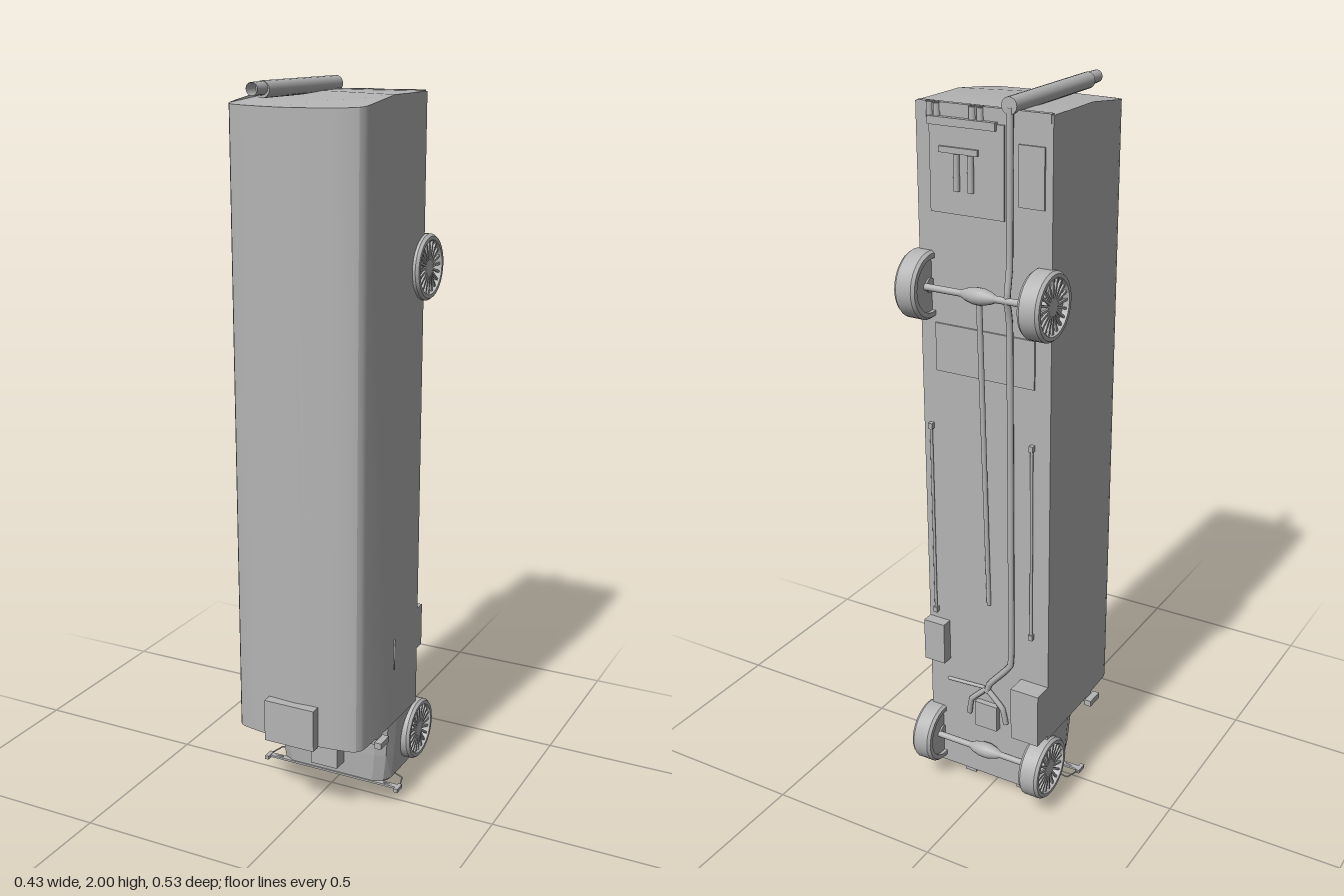
import * as THREE from 'three';
import { toCreasedNormals } from 'three/addons/utils/BufferGeometryUtils.js';

const grey = new THREE.MeshStandardMaterial({ color: 0xb4b4b4, side: THREE.DoubleSide });
grey.name = 'plain grey';

// The vehicle stands on its nose: length runs along y, its roof faces +z.
export function createModel() {
  const model = new THREE.Group();
  model.name = 'uprightMotorhome';

  const add = (name, geo, parent = model) => {
    const m = new THREE.Mesh(geo, grey);
    m.name = name;
    parent.add(m);
    return m;
  };
  // box given by its minimum and maximum on each axis
  const box = (name, x0, x1, y0, y1, z0, z1, parent) => {
    const m = add(name, new THREE.BoxGeometry(x1 - x0, y1 - y0, z1 - z0), parent);
    m.position.set((x0 + x1) / 2, (y0 + y1) / 2, (z0 + z1) / 2);
    return m;
  };
  // round bar between two points
  const rod = (name, a, b, r0, r1 = r0, open = false, parent = model) => {
    const A = new THREE.Vector3(...a), B = new THREE.Vector3(...b);
    const d = B.clone().sub(A);
    const m = add(name, new THREE.CylinderGeometry(r1, r0, d.length(), 16, 1, open), parent);
    m.position.copy(A).add(B).multiplyScalar(0.5);
    m.quaternion.setFromUnitVectors(new THREE.Vector3(0, 1, 0), d.normalize());
    return m;
  };
  const tube = (name, pts, r, n = 40) => add(name, new THREE.TubeGeometry(
    new THREE.CatmullRomCurve3(pts.map(p => new THREE.Vector3(...p)), false, 'catmullrom', 0.2), n, r, 8));
  // extrude an x-z outline along y
  const extrudeY = (pts, y0, y1) => {
    const shape = new THREE.Shape(pts.map(([x, z]) => new THREE.Vector2(x, -z)));
    const g = new THREE.ExtrudeGeometry(shape, { depth: y1 - y0, bevelEnabled: false });
    return g.rotateX(-Math.PI / 2).translate(0, y0, 0);
  };
  const mirrored = half => [...half, ...half.filter(p => p[0] > 0).reverse().map(([x, z]) => [-x, z])];

  // Body shell with bowed roof; the tail slopes forward towards the roof
  const outline = mirrored([[0.19, -0.168], [0.19, -0.125], [0.19, 0.03], [0.19, 0.18], [0.186, 0.195],
    [0.178, 0.206], [0.165, 0.213], [0.12, 0.222], [0.06, 0.23], [0, 0.234]]);
  let shell = extrudeY(outline, 0.237, 1.965);
  const p = shell.attributes.position;
  for (let i = 0; i < p.count; i++) {
    if (p.getY(i) > 1 && p.getZ(i) > 0.03) p.setY(i, 1.965 - 0.025 * (p.getZ(i) - 0.03) / 0.2);
    else if (p.getY(i) < 1) p.setY(i, 0.237 + Math.max(0, p.getZ(i)) * 0.06);
  }
  add('bodyShell', toCreasedNormals(shell, 0.4));
  box('rearSill', -0.185, 0.185, 1.945, 1.968, -0.17, -0.155);
  box('roofHatch', -0.075, 0.075, 0.25, 0.37, 0.23, 0.258);
  const cap = add('sideCap', new THREE.CylinderGeometry(0.045, 0.045, 0.004, 8));
  cap.rotation.set(0, Math.PI / 8, Math.PI / 2);
  cap.position.set(0.191, 0.45, -0.01);

  // Cab: sections from the body to the nose, each [y, roof half width, side half width, roof z]
  const sections = [[0.24, 0.178, 0.188, 0.012], [0.13, 0.17, 0.18, 0.007], [0.045, 0.158, 0.172, 0.0]];
  const ring = ([y, a, b, z]) => [[b, -0.165], [b, -0.04], [a, z - 0.015], [a * 0.82, z],
    [-a * 0.82, z], [-a, z - 0.015], [-b, -0.04], [-b, -0.165]].map(([x, w]) => [x, y, w]);
  const verts = [], tri = (a, b, c) => verts.push(...a, ...b, ...c);
  const rings = sections.map(ring);
  for (let i = 0; i < rings.length - 1; i++) for (let j = 0; j < 8; j++) {
    const k = (j + 1) % 8, A = rings[i], B = rings[i + 1];
    tri(A[j], A[k], B[j]);
    tri(A[k], B[k], B[j]);
  }
  const nose = rings[rings.length - 1];
  for (let j = 1; j < 7; j++) tri(nose[0], nose[j], nose[j + 1]);
  const cabGeo = new THREE.BufferGeometry();
  cabGeo.setAttribute('position', new THREE.Float32BufferAttribute(verts, 3));
  cabGeo.computeVertexNormals();
  add('cab', cabGeo);

  // Bowed nose and bumper
  const noseProfile = new THREE.Shape([[0.048, -0.012], [0.028, -0.04], [0.017, -0.075], [0.017, -0.12], [0.046, -0.155]]
    .map(([y, z]) => new THREE.Vector2(-z, y)));
  const noseGeo = new THREE.ExtrudeGeometry(noseProfile, { depth: 0.3, bevelEnabled: false });
  add('nose', noseGeo.rotateY(Math.PI / 2).translate(-0.15, 0, 0));
  box('bumper', -0.11, 0.11, 0.018, 0.035, -0.13, -0.05);
  for (const s of [-1, 1]) box('bumperGuard', s * 0.087 - 0.018, s * 0.087 + 0.018, 0.005, 0.03, -0.13, -0.07);
  box('windscreenLip', -0.205, 0.205, 0.038, 0.044, -0.015, 0.002);

  // Cab roof pod with an arched end
  const arch = new THREE.Shape();
  arch.moveTo(-0.042, 0.085);
  arch.lineTo(0.042, 0.085);
  arch.lineTo(0.042, 0.185);
  arch.quadraticCurveTo(0.04, 0.215, 0, 0.215);
  arch.quadraticCurveTo(-0.04, 0.215, -0.042, 0.185);
  add('roofPod', new THREE.ExtrudeGeometry(arch, { depth: 0.045, bevelEnabled: false }).translate(0, 0, 0.005));

  // Corner lamps and mirrors on both sides
  for (const s of [-1, 1]) {
    box('cornerLamp', s * 0.199 - 0.01, s * 0.199 + 0.01, 0.218, 0.236, 0.06, 0.113);
    box('lampBracket', s * 0.18 - 0.01, s * 0.18 + 0.01, 0.222, 0.245, 0.07, 0.1);
    rod('mirrorArm', [s * 0.165, 0.05, -0.065], [s * 0.198, 0.042, -0.06], 0.002);
    rod('mirrorArm', [s * 0.198, 0.042, -0.06], [s * 0.212, 0.04, -0.012], 0.002);
    rod('mirrorArm', [s * 0.165, 0.045, -0.005], [s * 0.212, 0.04, -0.012], 0.002);
    box('mirror', s * 0.21 - 0.006, s * 0.21 + 0.006, 0.034, 0.045, -0.02, 0.014);
  }

  // Wheels with slim spokes
  const tyreProfile = [[0.07, -0.03], [0.083, -0.03], [0.089, -0.022], [0.089, 0.022], [0.083, 0.03],
    [0.073, 0.03], [0.07, 0.022], [0.07, -0.03]].map(([r, h]) => new THREE.Vector2(r, h));
  const tyreGeo = toCreasedNormals(new THREE.LatheGeometry(tyreProfile, 32), 0.5);
  const spokeGeo = new THREE.BoxGeometry(0.056, 0.006, 0.006).translate(0.043, 0.022, 0);
  const makeWheel = (s, y, z) => {
    const w = new THREE.Group();
    w.name = 'wheel';
    add('tyre', tyreGeo, w);
    const back = add('wheelBack', new THREE.CylinderGeometry(0.071, 0.071, 0.008, 32), w);
    back.position.y = -0.016;
    add('hub', new THREE.CylinderGeometry(0.017, 0.019, 0.05, 16), w);
    for (let i = 0; i < 20; i++) add('spoke', spokeGeo, w).rotation.y = i * Math.PI / 10;
    w.rotation.z = -s * Math.PI / 2;
    w.position.set(s * 0.176, y, z);
    model.add(w);
  };

  // Axles with swollen differentials
  for (const [y, z] of [[0.148, -0.172], [1.51, -0.18]]) {
    for (const s of [-1, 1]) makeWheel(s, y, z);
    rod('axle', [-0.16, y, z - 0.017], [0.16, y, z - 0.017], 0.009);
    const diff = [[0.009, -0.05], [0.016, -0.035], [0.022, -0.012], [0.022, 0.012], [0.016, 0.035], [0.009, 0.05]];
    add('differential', new THREE.LatheGeometry(diff.map(d => new THREE.Vector2(...d)), 16)
      .rotateZ(Math.PI / 2).translate(0, y, z - 0.017));
  }
  rod('driveShaft', [0, 1.5, -0.195], [-0.005, 0.62, -0.17], 0.008, 0.006);

  // Exhaust run, forked at the engine, with a wide hose carrier over the tail
  tube('exhaustPipe', [[-0.08, 1.975, -0.178], [-0.08, 1.6, -0.182], [-0.08, 1.51, -0.196], [-0.08, 1.42, -0.182],
    [-0.08, 0.5, -0.178], [-0.07, 0.44, -0.178], [-0.01, 0.37, -0.178], [0.0, 0.34, -0.178]], 0.009, 60);
  tube('exhaustFork', [[0.0, 0.35, -0.178], [0.05, 0.3, -0.178], [0.06, 0.25, -0.175]], 0.008, 12);
  tube('exhaustFork', [[0.0, 0.35, -0.178], [-0.05, 0.3, -0.178], [-0.06, 0.25, -0.175]], 0.008, 12);
  rod('crossPipe', [0.0, 0.35, -0.175], [0.13, 0.34, -0.172], 0.005);
  rod('tailTube', [-0.08, 1.979, -0.183], [-0.08, 1.979, 0.215], 0.021);
  rod('tailTubeTip', [-0.08, 1.982, 0.21], [-0.08, 1.982, 0.265], 0.017, 0.016, true);

  // Underside boxes, rails and cover plates
  box('fuelTank', -0.19, -0.105, 0.25, 0.41, -0.225, -0.165);
  box('batteryBox', 0.125, 0.19, 0.405, 0.53, -0.2, -0.165);
  box('enginePan', -0.035, 0.035, 0.22, 0.3, -0.185, -0.16);
  for (const x of [-0.14, 0.165]) {
    rod('sideRail', [x, 0.56, -0.175], [x, 1.12, -0.175], 0.004);
    for (const y of [0.56, 1.12]) box('railFoot', x - 0.006, x + 0.006, y - 0.008, y + 0.008, -0.181, -0.165);
  }
  box('middleCover', -0.145, 0.145, 1.28, 1.41, -0.173, -0.166);
  box('rearCover', -0.06, 0.15, 1.7, 1.93, -0.173, -0.166);
  box('rearSideCover', -0.17, -0.1, 1.74, 1.89, -0.173, -0.166);
  for (const x of [0.03, 0.07]) rod('damper', [x, 1.76, -0.178], [x, 1.85, -0.178], 0.008);
  box('damperMount', 0.01, 0.12, 1.85, 1.865, -0.18, -0.166);
  box('towBar', -0.04, 0.15, 1.915, 1.935, -0.182, -0.166);

  // Paired tail lamps
  for (const x of [0.007, 0.029, 0.129, 0.149]) {
    rod('tailLamp', [x, 1.93, -0.168], [x, 1.966, -0.168], 0.009);
    add('lampRim', new THREE.TorusGeometry(0.008, 0.002, 6, 16).rotateX(Math.PI / 2).translate(x, 1.967, -0.168));
  }
  return model;
}
